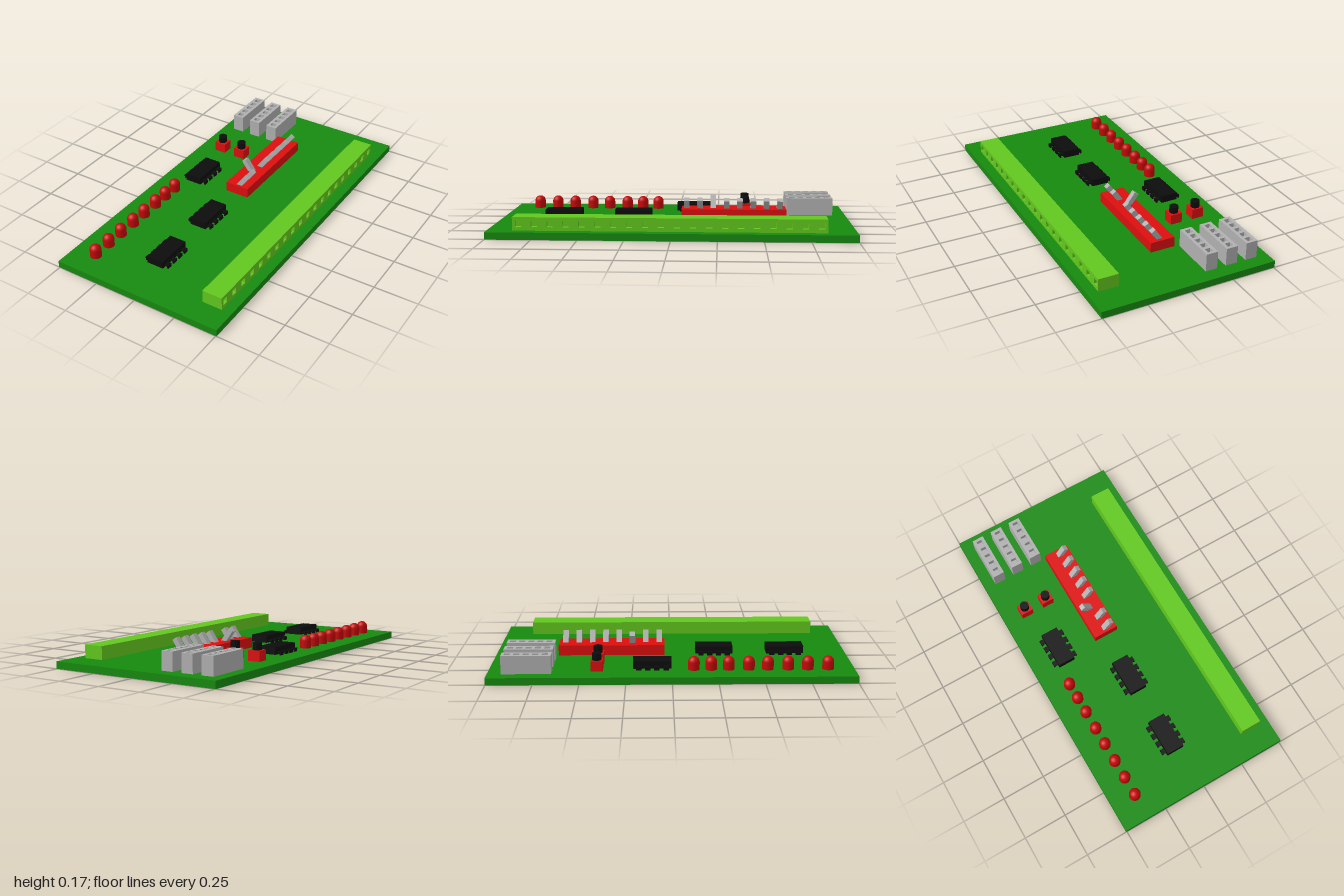
import * as THREE from 'three';

const mat = (color) => new THREE.MeshStandardMaterial({ color });
const M = {
  board: mat(0x178a0f), lime: mat(0x62c81e), red: mat(0xdd0e0e), led: mat(0xc40808),
  black: mat(0x0c0c0c), grey: mat(0xb0b0b0),
};
const TOP = 0.04; // upper face of the board

function add(parent, name, geometry, material, x = 0, y = 0, z = 0) {
  const mesh = new THREE.Mesh(geometry, material);
  mesh.name = name;
  mesh.position.set(x, y, z);
  parent.add(mesh);
  return mesh;
}

function group(parent, name, x, y, z) {
  const g = new THREE.Group();
  g.name = name;
  g.position.set(x, y, z);
  parent.add(g);
  return g;
}

// Rectangular plate with a row of square holes along its length, extruded along +z
function socketPlate(length, width, depth, count, pitch, hole) {
  const shape = new THREE.Shape();
  const l = length / 2, w = width / 2, h = hole / 2;
  shape.moveTo(-l, -w).lineTo(l, -w).lineTo(l, w).lineTo(-l, w).closePath();
  for (let i = 0; i < count; i++) {
    const c = (i - (count - 1) / 2) * pitch;
    const p = new THREE.Path();
    p.moveTo(c - h, -h).lineTo(c - h, h).lineTo(c + h, h).lineTo(c + h, -h).closePath();
    shape.holes.push(p);
  }
  return new THREE.ExtrudeGeometry(shape, { depth, bevelEnabled: false });
}

// Long edge connector with sockets facing the model's left
function edgeConnector(parent) {
  const g = group(parent, 'edgeConnector', 0.388, TOP, 0.01);
  const recess = 0.03, w = 0.116, h = 0.074, len = 1.7;
  add(g, 'connectorBody', new THREE.BoxGeometry(w - recess, h, len), M.lime, -recess / 2, h / 2, 0);
  const face = socketPlate(len, h, recess, 20, 0.086, 0.034).rotateY(Math.PI / 2);
  add(g, 'connectorSockets', face, M.lime, w / 2 - recess, h / 2, 0);
}

// Upright header with five sockets in its top
function pinHeader(parent, x) {
  const g = group(parent, 'pinHeader', x, TOP, -0.788);
  const recess = 0.03, w = 0.068, h = 0.102, len = 0.27;
  add(g, 'headerBody', new THREE.BoxGeometry(w, h - recess, len), M.grey, 0, (h - recess) / 2, 0);
  const face = socketPlate(len, w, recess, 5, 0.051, 0.032).rotateX(-Math.PI / 2).rotateY(Math.PI / 2);
  add(g, 'headerSockets', face, M.grey, 0, h - recess, 0);
}

// Bank of eight tilting levers, one thrown the other way
function switchBank(parent) {
  const g = group(parent, 'switchBank', -0.031, TOP, -0.341);
  add(g, 'switchHousing', new THREE.BoxGeometry(0.144, 0.058, 0.603), M.red, 0, 0.029, 0);
  for (let i = 0; i < 8; i++) {
    const flipped = i === 5;
    const len = flipped ? 0.095 : 0.082;
    const lever = new THREE.BoxGeometry(0.029, len, 0.032).translate(0, len / 2, 0);
    const m = add(g, 'switchLever', lever, M.grey, 0, 0.045, (i - 3.5) * 0.0768 + 0.003);
    m.rotation.z = flipped ? 0.63 : -0.6;
  }
}

// Push button: square base with a round cap
function pushButton(parent, x) {
  const g = group(parent, 'pushButton', x, TOP, -0.41);
  add(g, 'buttonBase', new THREE.BoxGeometry(0.07, 0.058, 0.066), M.red, 0, 0.029, 0);
  add(g, 'buttonCap', new THREE.CylinderGeometry(0.025, 0.025, 0.04, 24), M.black, 0, 0.076, 0);
}

// Chip with four bent legs on each side
function chip(parent, x, z) {
  const g = group(parent, 'chip', x, TOP, z);
  add(g, 'chipBody', new THREE.BoxGeometry(0.1, 0.042, 0.212), M.black, 0, 0.024, 0);
  for (const side of [-1, 1]) {
    for (let i = 0; i < 4; i++) {
      const lz = (i - 1.5) * 0.05;
      add(g, 'legShoulder', new THREE.BoxGeometry(0.03, 0.008, 0.03), M.black, side * 0.059, 0.016, lz);
      add(g, 'legFoot', new THREE.BoxGeometry(0.008, 0.02, 0.03), M.black, side * 0.07, 0.01, lz);
    }
  }
}

export function createModel() {
  const model = new THREE.Group();
  model.name = 'circuitBoard';

  add(model, 'board', new THREE.BoxGeometry(1.01, TOP, 2), M.board, 0, TOP / 2, 0);
  edgeConnector(model);
  for (const x of [-0.405, -0.284, -0.163]) pinHeader(model, x);
  switchBank(model);
  for (const x of [-0.367, -0.23]) pushButton(model, x);
  chip(model, -0.314, -0.108);
  chip(model, -0.043, 0.244);
  chip(model, -0.043, 0.65);

  // Row of domed lamps
  const r = 0.032;
  const profile = [new THREE.Vector2(r, 0)];
  for (let i = 0; i <= 10; i++) {
    const a = (i / 10) * Math.PI / 2;
    profile.push(new THREE.Vector2(i === 10 ? 0 : r * Math.cos(a), 0.042 + r * Math.sin(a)));
  }
  const lamp = new THREE.LatheGeometry(profile, 24);
  for (const z of [0.119, 0.214, 0.31, 0.42, 0.524, 0.635, 0.743, 0.854]) {
    add(model, 'lamp', lamp, M.led, -0.365, TOP, z);
  }
  return model;
}
